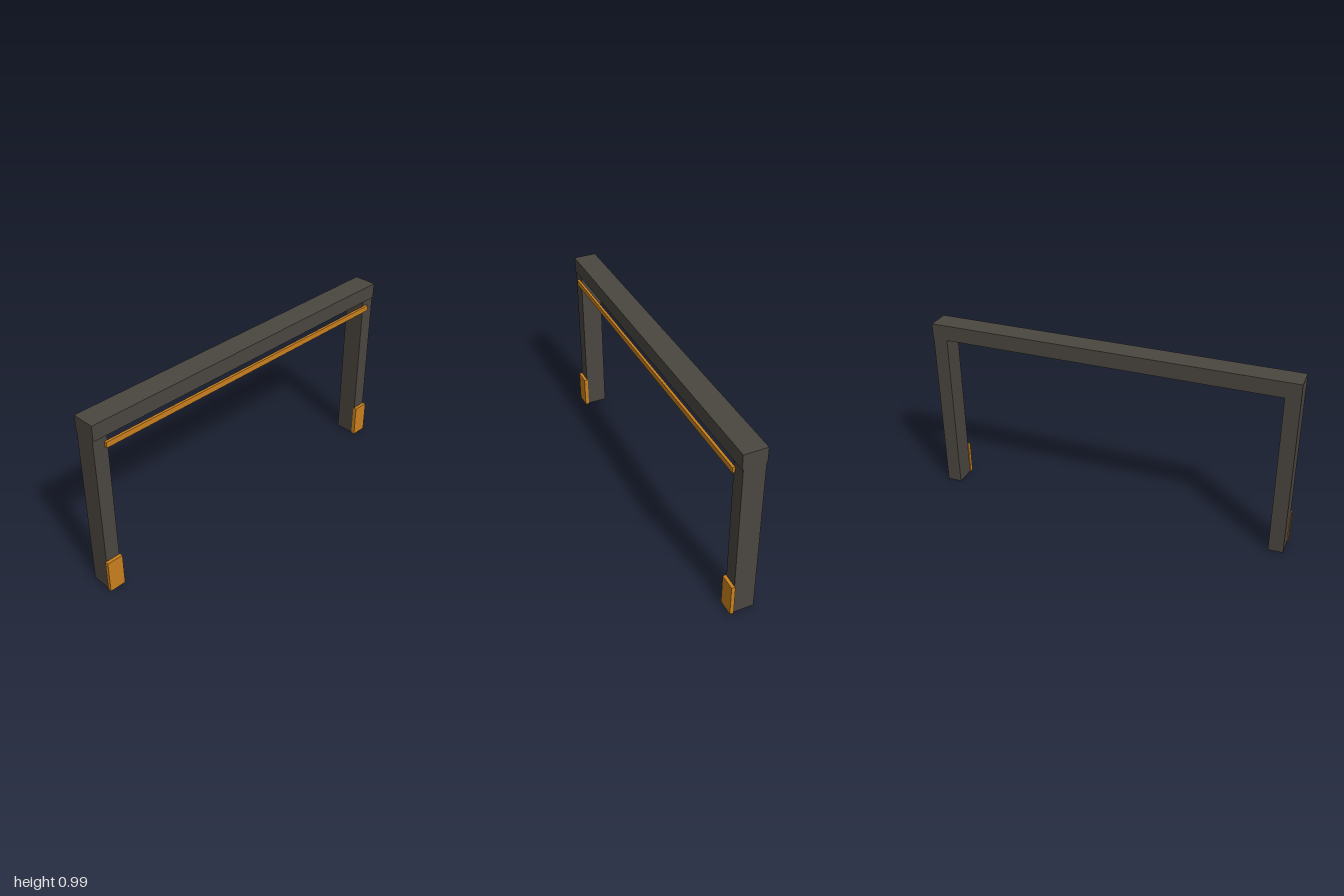
import * as THREE from 'three';

const steel = new THREE.MeshStandardMaterial({ color: 0x4a4640 });
steel.name = 'darkSteel';
const amber = new THREE.MeshStandardMaterial({ color: 0xc9801e });
amber.name = 'amber';

// Box given by its lower and upper corners
function box(name, material, [x0, y0, z0], [x1, y1, z1]) {
  const mesh = new THREE.Mesh(new THREE.BoxGeometry(x1 - x0, y1 - y0, z1 - z0), material);
  mesh.position.set((x0 + x1) / 2, (y0 + y1) / 2, (z0 + z1) / 2);
  mesh.name = name;
  return mesh;
}

export function createModel() {
  const group = new THREE.Group();
  group.name = 'gateFrame';

  // Lintel across the top and the thin rail hung in front below it
  group.add(box('lintel', steel, [-0.995, 0.908, -0.069], [0.995, 0.993, 0.058]));
  group.add(box('rail', amber, [-0.935, 0.85, 0.056], [0.935, 0.881, 0.07]));

  // Posts with a guard plate at the foot of each
  for (const [side, x] of [['left', 0.955], ['right', -0.955]]) {
    group.add(box(side + 'Post', steel, [x - 0.04, 0, -0.064], [x + 0.04, 0.908, 0.052]));
    group.add(box(side + 'FootPlate', amber, [x - 0.045, 0, 0.049], [x + 0.045, 0.184, 0.07]));
  }
  return group;
}
